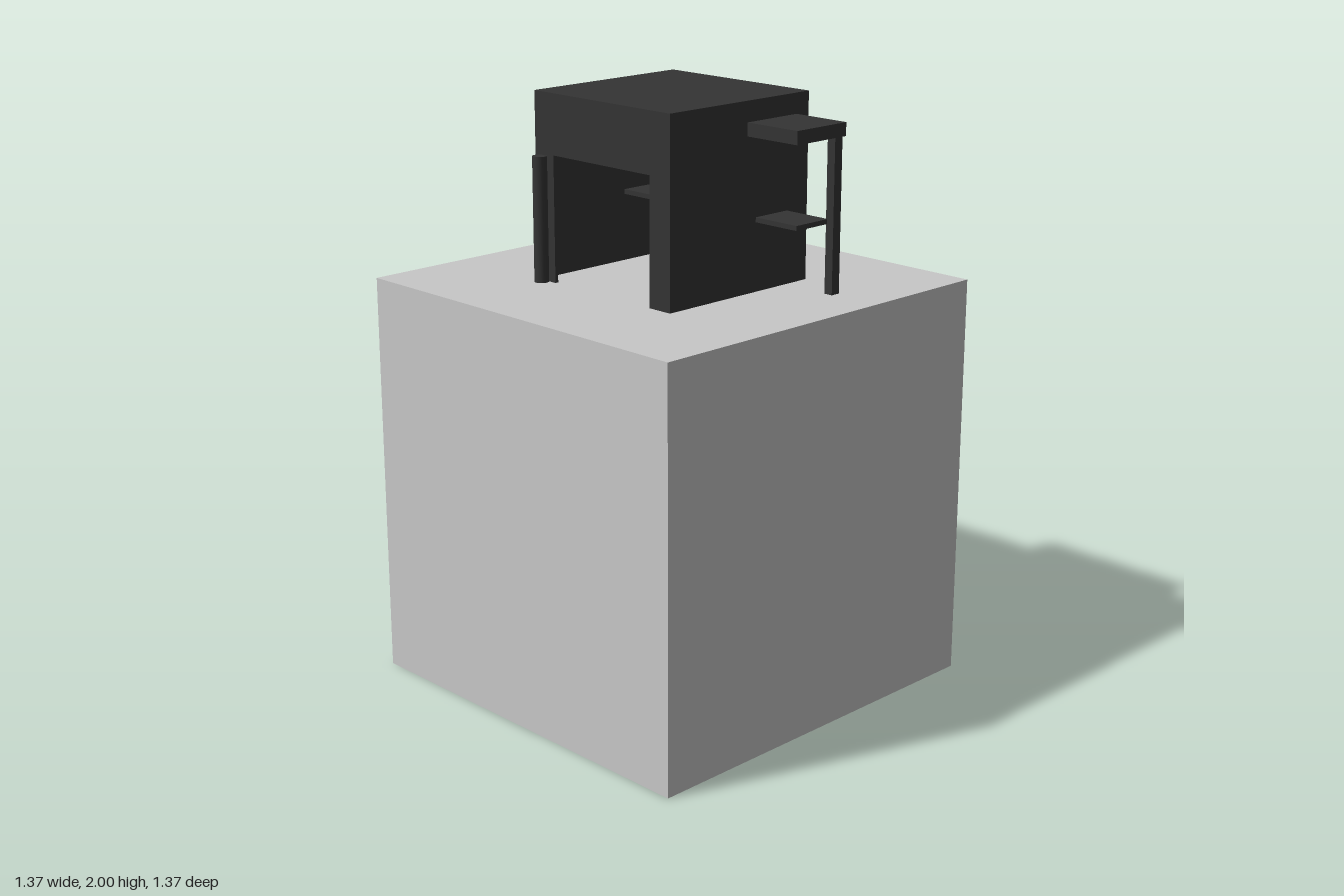
import * as THREE from 'three';

export function createModel() {
  const model = new THREE.Group();
  const grey = new THREE.MeshStandardMaterial({ color: 0xc8c8c8 });
  grey.name = 'light grey';
  const dark = new THREE.MeshStandardMaterial({ color: 0x343434 });
  dark.name = 'charcoal';

  // Box given by its lowest and highest corners
  function box(name, [x0, y0, z0], [x1, y1, z1], material = dark, parent = model) {
    const mesh = new THREE.Mesh(new THREE.BoxGeometry(x1 - x0, y1 - y0, z1 - z0), material);
    mesh.position.set((x0 + x1) / 2, (y0 + y1) / 2, (z0 + z1) / 2);
    mesh.name = name;
    parent.add(mesh);
    return mesh;
  }

  const base = 1.38, top = 2, half = 0.31, wall = 0.012;

  box('plinth', [-0.685, 0, -0.685], [0.685, base, 0.685], grey);

  // Hollow cabin: side walls, back, roof
  const cabin = new THREE.Group();
  cabin.name = 'cabin';
  model.add(cabin);
  const inner = half - wall;
  box('rightWall', [-half, base, -half], [-inner, top - wall, inner], dark, cabin);
  box('leftWall', [inner, base, -half], [half, top - wall, inner], dark, cabin);
  box('backWall', [-inner, base, -half], [inner, top - wall, -inner], dark, cabin);
  box('roof', [-half, top - wall, -half], [half, top, inner], dark, cabin);

  // Front panel with the doorway cut out
  const panel = new THREE.Shape([
    [-half, base], [-0.223, base], [-0.223, 1.8], [0.22, 1.8],
    [0.22, base], [half, base], [half, top], [-half, top],
  ].map(([x, y]) => new THREE.Vector2(x, y)));
  const front = new THREE.Mesh(
    new THREE.ExtrudeGeometry(panel, { depth: wall, bevelEnabled: false }), dark);
  front.position.z = inner;
  front.name = 'frontPanel';
  cabin.add(front);

  // Round post beside the doorway
  const post = new THREE.Mesh(new THREE.CylinderGeometry(0.024, 0.024, 0.415, 16), dark);
  post.position.set(-0.27, base + 0.2075, 0.328);
  post.name = 'doorPost';
  model.add(post);

  // Shelf running through the cabin and out on both sides
  box('shelf', [-0.485, 1.608, -0.215], [0.485, 1.624, -0.07]);

  // Side tables, one leg each
  for (const [side, s] of [['left', 1], ['right', -1]]) {
    const table = new THREE.Group();
    table.name = side + 'Table';
    model.add(table);
    const span = (a, b) => (s > 0 ? [a, b] : [-b, -a]);
    const [t0, t1] = span(half, 0.52);
    box('tableTop', [t0, 1.888, -0.253], [t1, 1.932, -0.028], dark, table);
    const [l0, l1] = span(0.48, 0.511);
    box('tableLeg', [l0, base, -0.247], [l1, 1.888, -0.213], dark, table);
  }

  // Small fittings on the right side
  box('wallBracket', [-0.318, 1.71, -0.172], [-half, 1.805, -0.156]);
  box('legFoot', [-0.48, base, -0.24], [-0.468, 1.4, -0.22]);

  return model;
}
